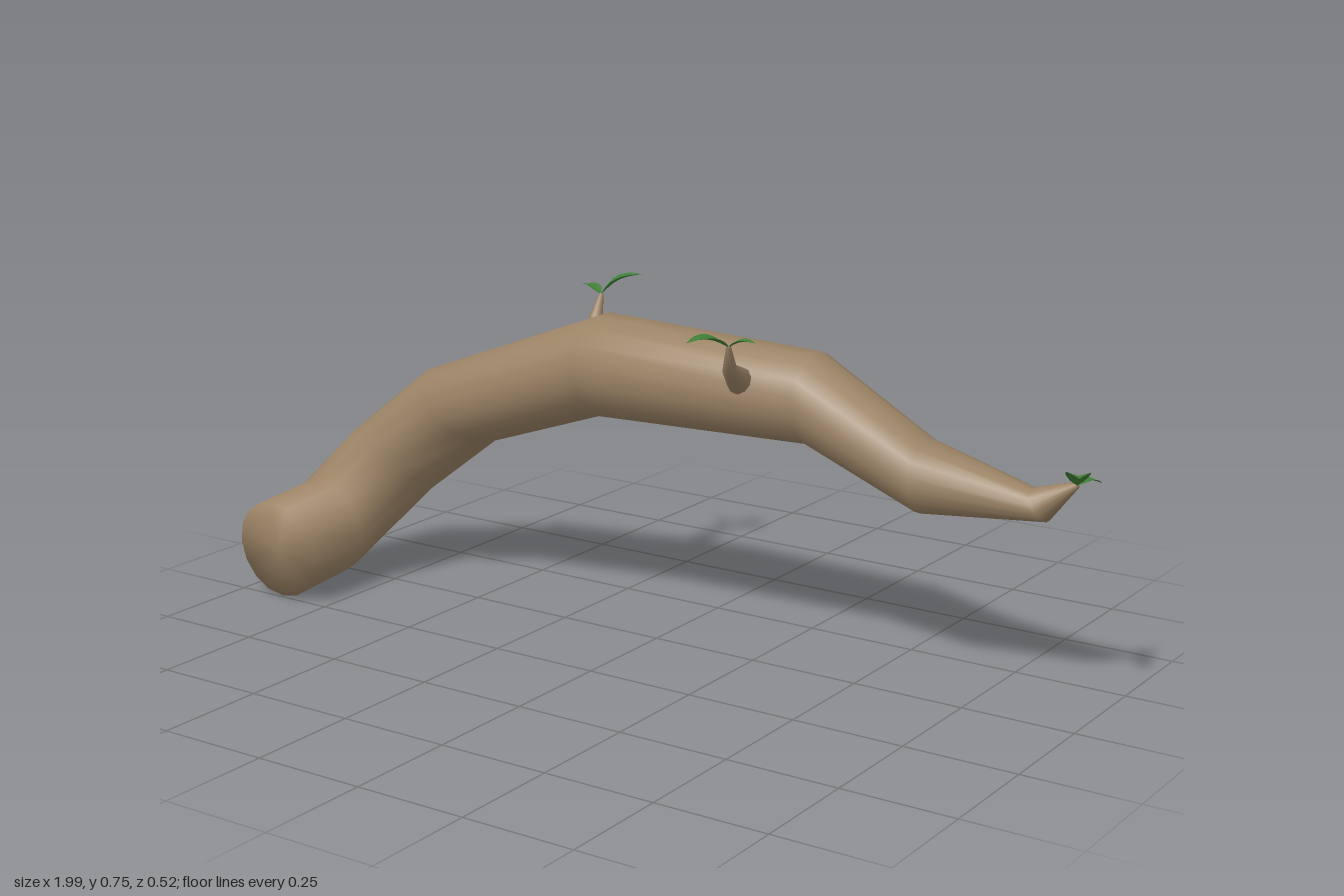
import * as THREE from 'three';

const V = (a) => new THREE.Vector3(...a);
const bark = new THREE.MeshStandardMaterial({ color: 0x9a8264 });
const green = new THREE.MeshStandardMaterial({ color: 0x417f38, side: THREE.DoubleSide });

// Closed tapering limb through rings of { c: centre, r: radius, t: direction }
function limb(name, rings, sides) {
  const pos = [], idx = [];
  let t = new THREE.Vector3(0, 0, -1);
  const u = new THREE.Vector3(1, 0, 0);
  rings.forEach(({ c, r, t: dir }, j) => {
    // carry the ring frame along so the limb does not twist
    const next = V(dir).normalize();
    u.applyQuaternion(new THREE.Quaternion().setFromUnitVectors(t, next));
    t = next;
    const v = t.clone().cross(u);
    for (let i = 0; i < sides; i++) {
      const a = (i / sides) * Math.PI * 2;
      const p = V(c).addScaledVector(u, r * Math.cos(a)).addScaledVector(v, r * Math.sin(a));
      pos.push(p.x, p.y, p.z);
      if (j === rings.length - 1) continue;
      const k = (i + 1) % sides, lo = j * sides, hi = lo + sides;
      idx.push(lo + i, lo + k, hi + k, lo + i, hi + k, hi + i);
    }
  });
  // end caps share the rim so they shade softly
  const start = pos.length / 3, last = (rings.length - 1) * sides;
  pos.push(...rings[0].c, ...rings[rings.length - 1].c);
  for (let i = 0; i < sides; i++) {
    const k = (i + 1) % sides;
    idx.push(start, k, i, start + 1, last + i, last + k);
  }
  const g = new THREE.BufferGeometry();
  g.setAttribute('position', new THREE.Float32BufferAttribute(pos, 3));
  g.setIndex(idx);
  g.computeVertexNormals();
  const mesh = new THREE.Mesh(g, bark);
  mesh.name = name;
  return mesh;
}

// Arched, slightly folded leaf from base to tip
function leaf(name, base, tip, width, arch) {
  const a = V(base), along = V(tip).sub(a);
  const side = along.clone().cross(new THREE.Vector3(0, 1, 0)).normalize();
  const up = side.clone().cross(along).normalize();
  const g = new THREE.PlaneGeometry(1, 1, 4, 8);
  const p = g.attributes.position;
  for (let i = 0; i < p.count; i++) {
    const s = p.getX(i) * 2, f = p.getY(i) + 0.5;
    const w = (width / 2) * Math.pow(Math.sin(Math.PI * Math.pow(f, 0.85)), 0.8) || 0;
    const q = a.clone().addScaledVector(along, f)
      .addScaledVector(side, s * w)
      .addScaledVector(up, arch * Math.sin(Math.PI * f) + Math.abs(s) * w * 0.3);
    p.setXYZ(i, q.x, q.y, q.z);
  }
  g.computeVertexNormals();
  const mesh = new THREE.Mesh(g, green);
  mesh.name = name;
  return mesh;
}

export function createModel() {
  const model = new THREE.Group();
  model.name = 'branch';

  // Main bough, from the thick cut end to the thin tip
  model.add(limb('bough', [
    { c: [-0.885, 0.115, 0.253], r: 0.115, t: [0.02, 0.09, -1] },
    { c: [-0.885, 0.13, 0.08], r: 0.115, t: [0.1, 0.1, -1] },
    { c: [-0.805, 0.272, -0.073], r: 0.116, t: [0.5, 0.95, -0.58] },
    { c: [-0.605, 0.43, -0.09], r: 0.115, t: [0.68, 0.75, 0] },
    { c: [-0.17, 0.59, -0.045], r: 0.115, t: [1, 0, 0] },
    { c: [0.365, 0.588, -0.046], r: 0.098, t: [1, 0, 0] },
    { c: [0.61, 0.452, -0.078], r: 0.079, t: [1, 0, 0] },
    { c: [0.86, 0.427, -0.095], r: 0.038, t: [0.85, 0.52, 0] },
    { c: [0.94, 0.482, -0.09], r: 0.007, t: [0.8, 0.6, 0] },
  ], 16));

  // Two side twigs
  model.add(limb('frontTwig', [
    { c: [0.235, 0.62, 0.035], r: 0.031, t: [0.2, 0.4, 0.9] },
    { c: [0.252, 0.662, 0.106], r: 0.016, t: [0.2, 0.65, 0.7] },
    { c: [0.265, 0.717, 0.132], r: 0.005, t: [0.2, 0.9, 0.4] },
  ], 10));
  model.add(limb('backTwig', [
    { c: [-0.3, 0.575, -0.145], r: 0.031, t: [0, 0.7, -0.7] },
    { c: [-0.3, 0.646, -0.196], r: 0.017, t: [0, 0.9, -0.4] },
    { c: [-0.295, 0.706, -0.213], r: 0.005, t: [0.1, 0.95, -0.25] },
  ], 10));

  // A large and a small leaf at each growing point
  const sprouts = [
    ['front', [0.265, 0.715, 0.131], [0.213, 0.732, 0.21], [0.322, 0.728, 0.12]],
    ['back', [-0.295, 0.704, -0.212], [-0.213, 0.752, -0.256], [-0.362, 0.716, -0.236]],
    ['tip', [0.939, 0.48, -0.09], [0.987, 0.525, 0.008], [0.968, 0.477, -0.147]],
  ];
  for (const [name, base, big, small] of sprouts) {
    model.add(leaf(name + 'LargeLeaf', base, big, 0.05, 0.012));
    model.add(leaf(name + 'SmallLeaf', base, small, 0.03, 0.008));
  }
  return model;
}
